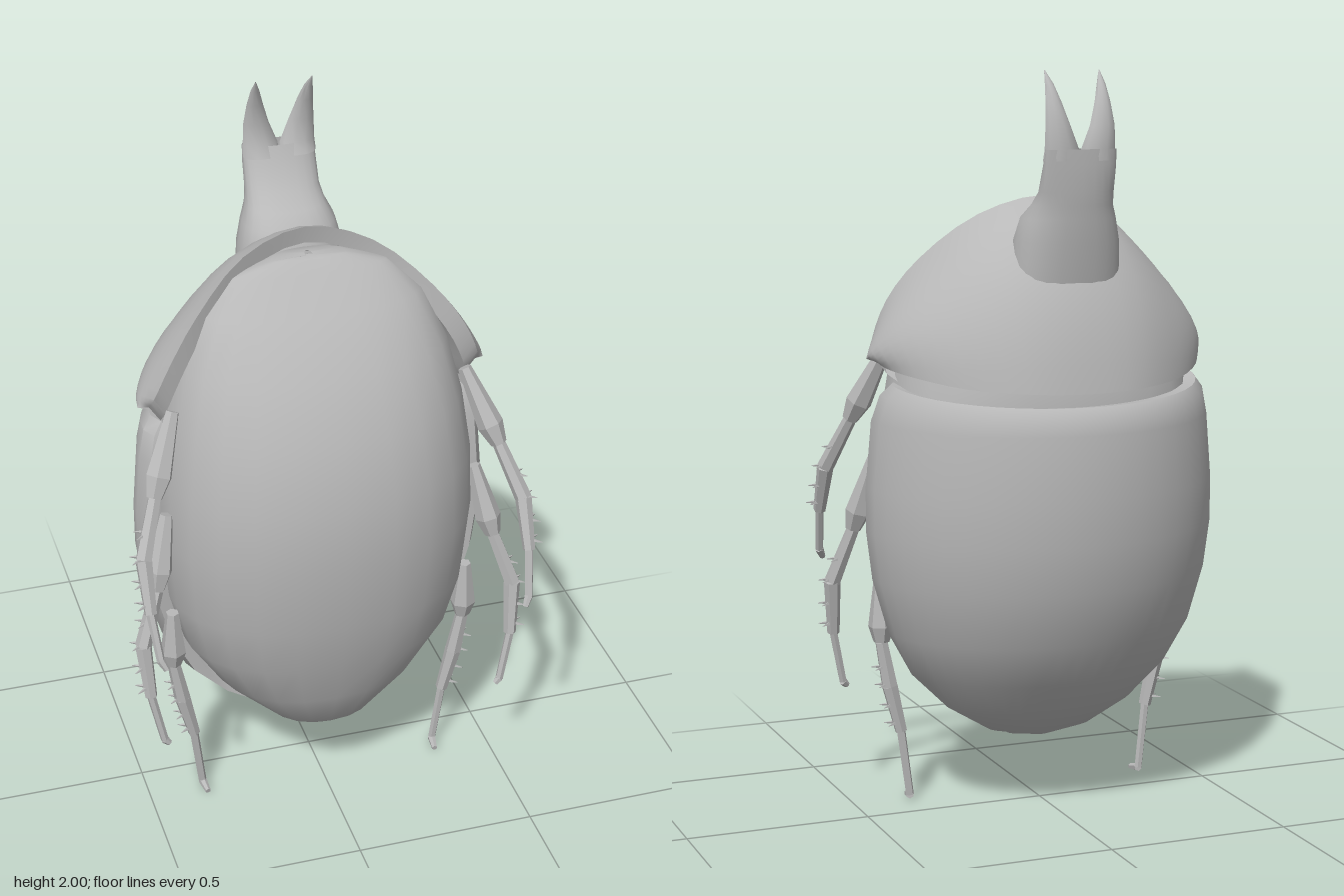
import * as THREE from 'three';
import { toCreasedNormals } from 'three/addons/utils/BufferGeometryUtils.js';

const V = (x, y, z) => new THREE.Vector3(x, y, z);
const shellGrey = new THREE.MeshStandardMaterial({ color: 0xb8b8b8, side: THREE.DoubleSide });
shellGrey.name = 'shell grey';

// Skin a list of equally long point rows
function loft(name, rows, crease = 0.8) {
  const n = rows[0].length, pos = [], idx = [];
  rows.forEach(r => r.forEach(p => pos.push(p.x, p.y, p.z)));
  for (let i = 0; i < rows.length - 1; i++) {
    for (let j = 0; j < n - 1; j++) {
      const a = i * n + j, b = a + 1, c = a + n, d = c + 1;
      idx.push(a, c, b, b, c, d);
    }
  }
  const g = new THREE.BufferGeometry();
  g.setAttribute('position', new THREE.Float32BufferAttribute(pos, 3));
  g.setIndex(idx);
  const mesh = new THREE.Mesh(toCreasedNormals(g, crease), shellGrey);
  mesh.name = name;
  return mesh;
}

const spow = (v, e) => Math.sign(v) * Math.abs(v) ** e;

// Closed horizontal ring: half width, back z, front z, widest z
function ring(y, w, back, front, mid, cx = 0, e = 1, n = 24) {
  return Array.from({ length: n + 1 }, (_, i) => {
    const a = (1 - i / n) * Math.PI * 2, s = spow(Math.sin(a), e);
    return V(cx + w * spow(Math.cos(a), e), y, mid + s * (s > 0 ? front - mid : mid - back));
  });
}

// Rounded underside of the body: y, half width, front z, back z
function belly() {
  const rows = [
    [1.605, 0.01, 0.0, -0.02], [1.6, 0.1, 0.02, -0.05], [1.57, 0.21, 0.05, -0.08],
    [1.49, 0.3, 0.14, -0.12], [1.355, 0.365, 0.245, -0.18], [1.2, 0.405, 0.318, -0.26],
    [1.03, 0.43, 0.362, -0.26], [0.85, 0.438, 0.37, -0.25], [0.65, 0.42, 0.35, -0.22],
    [0.5, 0.38, 0.318, -0.18], [0.36, 0.29, 0.27, -0.12], [0.25, 0.17, 0.225, -0.06],
    [0.19, 0.09, 0.15, -0.02], [0.18, 0.01, 0.08, 0.03],
  ];
  return loft('belly', rows.map(([y, w, f, b]) => ring(y, w, b, f, Math.min(0.02, (f + b) / 2 + 0.02), 0, 0.86)));
}

// Wing cover wrapped round the back: y, half width, side z, back z, drop at back
function wingCover() {
  const rows = [
    [1.165, 0.37, -0.04, -0.24, 0.04], [1.18, 0.43, -0.02, -0.345, 0.04], [1.15, 0.455, 0.0, -0.367, 0.03],
    [1.08, 0.473, 0.02, -0.378, 0.01], [0.9, 0.488, 0.025, -0.386, 0], [0.78, 0.488, 0.025, -0.383, 0],
    [0.65, 0.472, 0.025, -0.364, 0], [0.5, 0.43, 0.02, -0.315, 0], [0.38, 0.365, 0.02, -0.245, 0],
    [0.28, 0.265, 0.01, -0.155, 0], [0.21, 0.15, 0.005, -0.07, 0], [0.185, 0.03, 0, -0.02, 0],
  ];
  const n = 22;
  return loft('wingCover', rows.map(([y, w, zs, zb, drop]) => {
    const r = [V(w * 0.87, y, zs + 0.035), V(w * 0.955, y, zs + 0.04)];
    for (let i = 0; i <= n; i++) {
      const a = Math.PI * i / n, s = Math.sin(a);
      r.push(V(w * Math.cos(a), y - drop * s, zs + (zb - zs) * s));
    }
    r.push(V(-w * 0.955, y, zs + 0.04), V(-w * 0.87, y, zs + 0.035));
    return r;
  }), 0.65);
}

// Hooded thorax shield, bulging between its front arch and its back rim
function thorax() {
  const arc = pts => {
    const half = pts.map(p => V(...p));
    const other = half.slice(0, -1).reverse().map(p => V(-p.x, p.y, p.z));
    return new THREE.CatmullRomCurve3([...half, ...other]).getPoints(30);
  };
  const front = arc([[0.45, 1.25, 0.055], [0.443, 1.29, 0.09], [0.4, 1.39, 0.1],
    [0.32, 1.5, 0.068], [0.175, 1.62, 0.0], [0, 1.668, -0.03]]);
  const back = arc([[0.45, 1.235, 0.035], [0.447, 1.225, -0.03], [0.4, 1.21, -0.14],
    [0.3, 1.19, -0.25], [0.16, 1.18, -0.33], [0, 1.175, -0.35]]);
  const rows = [
    front.map(p => V(p.x * 0.87, p.y - 0.08, p.z - 0.1)),
    front.map(p => V(p.x * 0.93, p.y - 0.05, p.z - 0.008)),
  ];
  const m = 10, k = 0.75;
  for (let i = 0; i <= m; i++) {
    const t = i / m * Math.PI / 2, c = Math.cos(t), s = Math.sin(t);
    const u = s / (s + c);
    rows.push(front.map((f, j) => {
      const b = back[j], p = f.clone().lerp(b, u);
      p.y += k * (b.y + (f.y - b.y) * c - p.y);
      p.z += k * (f.z + (b.z - f.z) * s - p.z);
      p.x *= 1 + 0.06 * Math.sin(2 * t);
      return p;
    }));
  }
  rows.push(back.map(p => V(p.x * 0.88, p.y + 0.01, p.z * 0.88)));
  return loft('thorax', rows);
}

// Curved horn with a forked tip
function horn() {
  const g = new THREE.Group();
  g.name = 'horn';
  const trunk = [
    [1.44, 0.15, -0.262, -0.06], [1.56, 0.14, -0.285, -0.07], [1.62, 0.125, -0.291, -0.09],
    [1.655, 0.108, -0.295, -0.14], [1.69, 0.101, -0.299, -0.19], [1.76, 0.1, -0.302, -0.235], [1.8, 0.098, -0.302, -0.252],
  ];
  g.add(loft('hornTrunk', trunk.map(([y, w, b, f]) => ring(y, w, b, f, (b + f) / 2 - 0.01, 0, 0.85))));
  // inner x, outer x, back z, front z
  const prong = [
    [1.77, 0, 0.1, -0.302, -0.238], [1.8, 0.003, 0.098, -0.302, -0.252], [1.86, 0.027, 0.096, -0.296, -0.259],
    [1.92, 0.046, 0.09, -0.278, -0.248], [1.965, 0.06, 0.084, -0.254, -0.234], [2.0, 0.075, 0.077, -0.222, -0.22],
  ];
  for (const s of [1, -1]) {
    g.add(loft('hornProng', prong.map(([y, i, o, b, f]) =>
      ring(y, (o - i) / 2, b, f, (b + f) / 2, s * (i + o) / 2, 1, 10))));
  }
  return g;
}

// Tapered faceted bar between two points
function bar(name, a, b, ra, rb, sides = 6) {
  const d = b.clone().sub(a);
  const geo = new THREE.CylinderGeometry(rb, ra, d.length(), sides).toNonIndexed();
  geo.computeVertexNormals();
  const m = new THREE.Mesh(geo, shellGrey);
  m.name = name;
  m.position.copy(a).lerp(b, 0.5);
  m.quaternion.setFromUnitVectors(V(0, 1, 0), d.normalize());
  return m;
}

// Leg: thigh, two-part spiny shin, slender foot and claw
function leg(name, pts, side) {
  const g = new THREE.Group();
  g.name = name;
  const p = pts.map(([x, y, z]) => V(side * x, y, z));
  const mid = p[0].clone().lerp(p[1], 0.75);
  g.add(bar('thigh', p[0], mid, 0.018, 0.036), bar('knee', mid, p[1], 0.036, 0.022));
  g.add(bar('upperShin', p[1], p[2], 0.018, 0.023), bar('lowerShin', p[2], p[3], 0.023, 0.017));
  g.add(bar('foot', p[3], p[4], 0.012, 0.011), bar('claw', p[4], p[5], 0.012, 0.008));
  for (let i = 0; i < 4; i++) {
    const q = p[i < 2 ? 1 : 2].clone().lerp(p[i < 2 ? 2 : 3], [0.55, 0.95, 0.4, 0.8][i]);
    for (const dz of [-0.02, 0.02]) {
      g.add(bar('spine', q, q.clone().add(V(side * 0.036, -0.004, dz)), 0.008, 0.001, 4));
    }
  }
  return g;
}

export function createModel() {
  const model = new THREE.Group();
  model.name = 'beetle';
  model.add(belly(), wingCover(), thorax(), horn());
  const legs = {
    FrontLeg: [[0.4, 1.26, 0.11], [0.475, 1.06, 0.195], [0.525, 0.92, 0.265], [0.525, 0.79, 0.325], [0.513, 0.67, 0.37], [0.5, 0.645, 0.382]],
    MiddleLeg: [[0.43, 0.96, 0.13], [0.475, 0.76, 0.18], [0.525, 0.61, 0.215], [0.515, 0.46, 0.242], [0.485, 0.315, 0.255], [0.472, 0.302, 0.258]],
    HindLeg: [[0.42, 0.63, 0.115], [0.42, 0.455, 0.11], [0.398, 0.33, 0.108], [0.367, 0.2, 0.106], [0.345, 0.018, 0.1], [0.34, 0.01, 0.142]],
  };
  for (const [name, pts] of Object.entries(legs)) {
    model.add(leg('left' + name, pts, 1), leg('right' + name, pts, -1));
  }
  return model;
}
